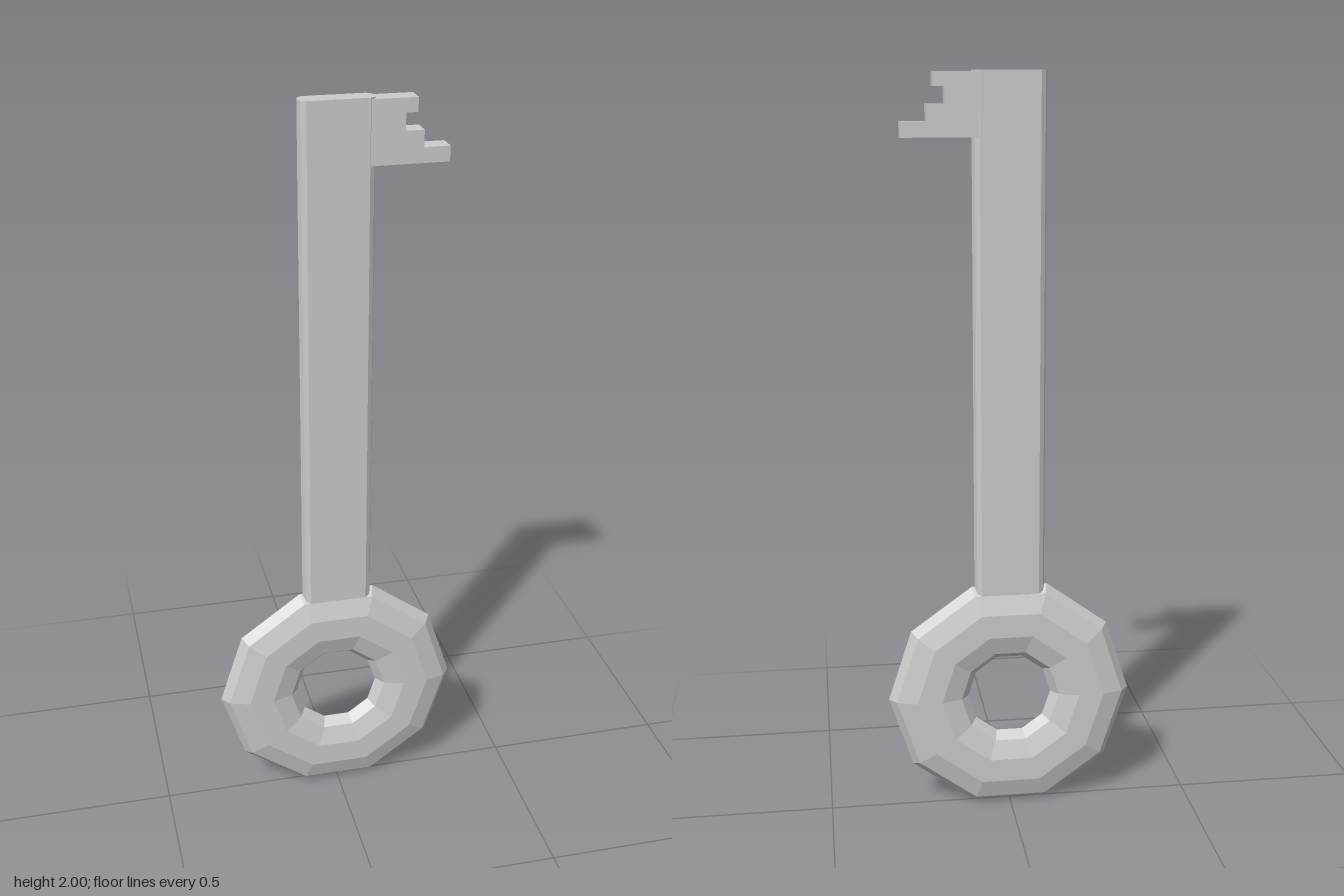
import * as THREE from 'three';

const material = new THREE.MeshStandardMaterial({ color: 0xcccccc, flatShading: true });

function addMesh(group, name, geometry) {
  const mesh = new THREE.Mesh(geometry, material);
  mesh.name = name;
  group.add(mesh);
  return mesh;
}

function extrude(points, depth) {
  const shape = new THREE.Shape(points.map(([x, y]) => new THREE.Vector2(x, y)));
  return new THREE.ExtrudeGeometry(shape, { depth, bevelEnabled: false });
}

export function createModel() {
  const key = new THREE.Group();
  key.name = 'key';

  // Ten-sided ring handle, flattened front to back
  const bow = new THREE.TorusGeometry(0.225, 0.11, 10, 10);
  bow.scale(1, 1, 0.42);
  bow.translate(0, 0.319, 0);
  addMesh(key, 'bow', bow);

  // Flat shaft with rounded narrow edges, its foot sunk into the ring
  const edge = [[0.078, -0.027], [0.09, -0.019], [0.096, 0], [0.09, 0.019], [0.078, 0.027]];
  const profile = [...edge, ...edge.map(([x, z]) => [-x, -z])];
  const shaft = extrude(profile, 1.42);
  shaft.rotateX(-Math.PI / 2);
  shaft.translate(0, 0.58, 0);
  addMesh(key, 'shaft', shaft);

  // Stepped bit at the tip
  const bit = extrude([
    [0.07, 1.836], [0.278, 1.836], [0.278, 1.875], [0.212, 1.875], [0.212, 1.917],
    [0.165, 1.917], [0.165, 1.96], [0.195, 1.96], [0.195, 1.996], [0.07, 1.996],
  ], 0.052);
  bit.translate(0, 0, -0.026);
  addMesh(key, 'bit', bit);

  return key;
}
